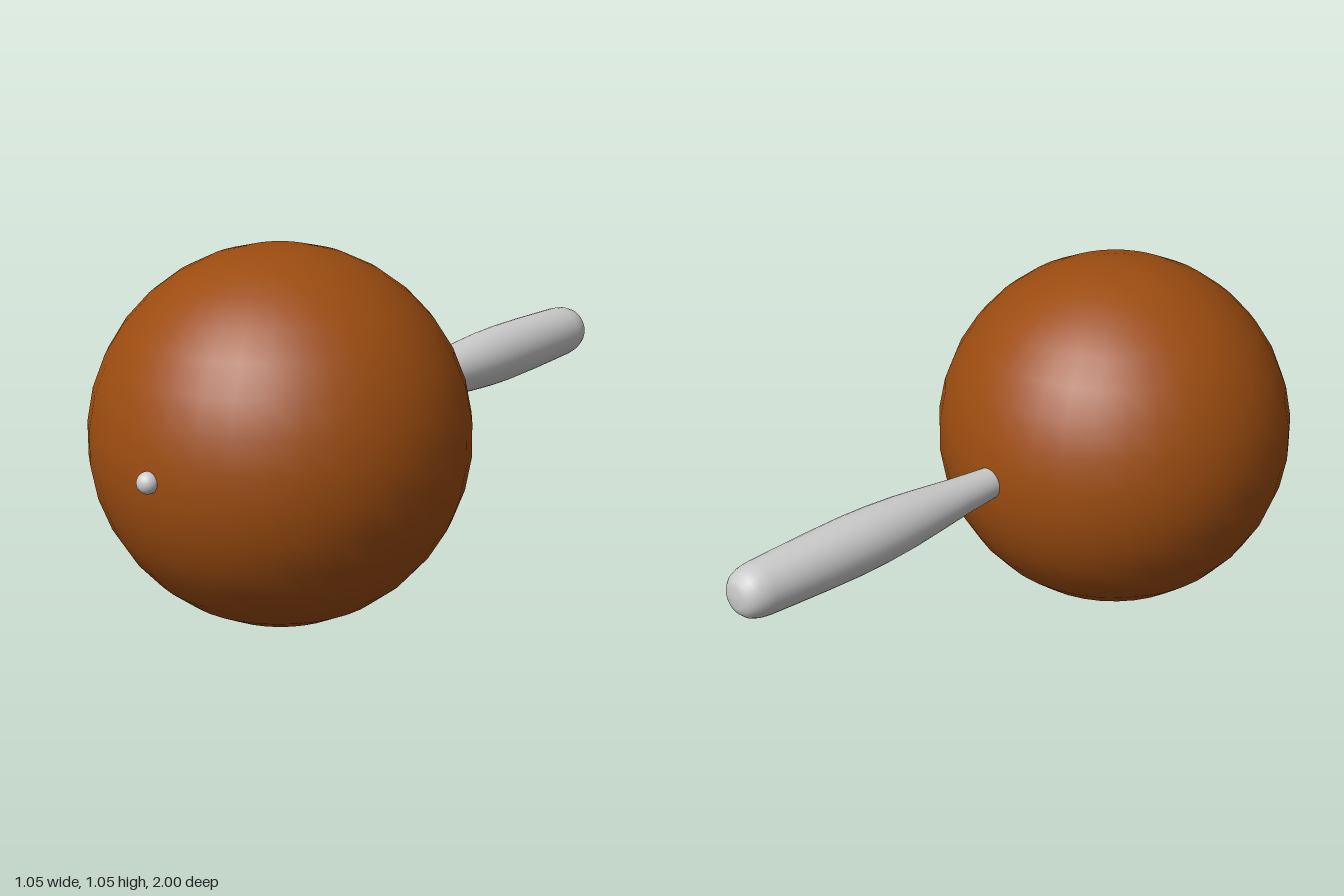
import * as THREE from 'three';

const CENTER_Y = 0.527;
const BALL_Z = 0.443;

export function createModel() {
  const group = new THREE.Group();
  const brown = new THREE.MeshStandardMaterial({ color: 0x9c4c10 });
  const grey = new THREE.MeshStandardMaterial({ color: 0xcccccc });

  const add = (name, geometry, material, z) => {
    const mesh = new THREE.Mesh(geometry, material);
    mesh.name = name;
    mesh.position.set(0, CENTER_Y, z);
    group.add(mesh);
  };

  // Large round head
  add('ball', new THREE.SphereGeometry(0.527, 34, 17), brown, BALL_Z);

  // Small bead on the front of the head
  add('frontBead', new THREE.SphereGeometry(0.03, 20, 14), grey, 0.97);

  // Handle: radius and distance towards the back, with a rounded end
  const profile = [
    [0, -0.02], [0.042, -0.02], [0.046, 0.08], [0.056, 0.2], [0.068, 0.31],
    [0.078, 0.41], [0.084, 0.51], [0.086, 0.6], [0.084, 0.72], [0.08, 0.84],
    [0.077, 0.92], [0.073, 0.95], [0.064, 0.975], [0.049, 0.992],
    [0.03, 0.999], [0, 1],
  ].map(([r, d]) => new THREE.Vector2(r, d));
  const handle = new THREE.LatheGeometry(profile, 32);
  handle.rotateX(-Math.PI / 2);
  add('handle', handle, grey, 0);

  return group;
}
